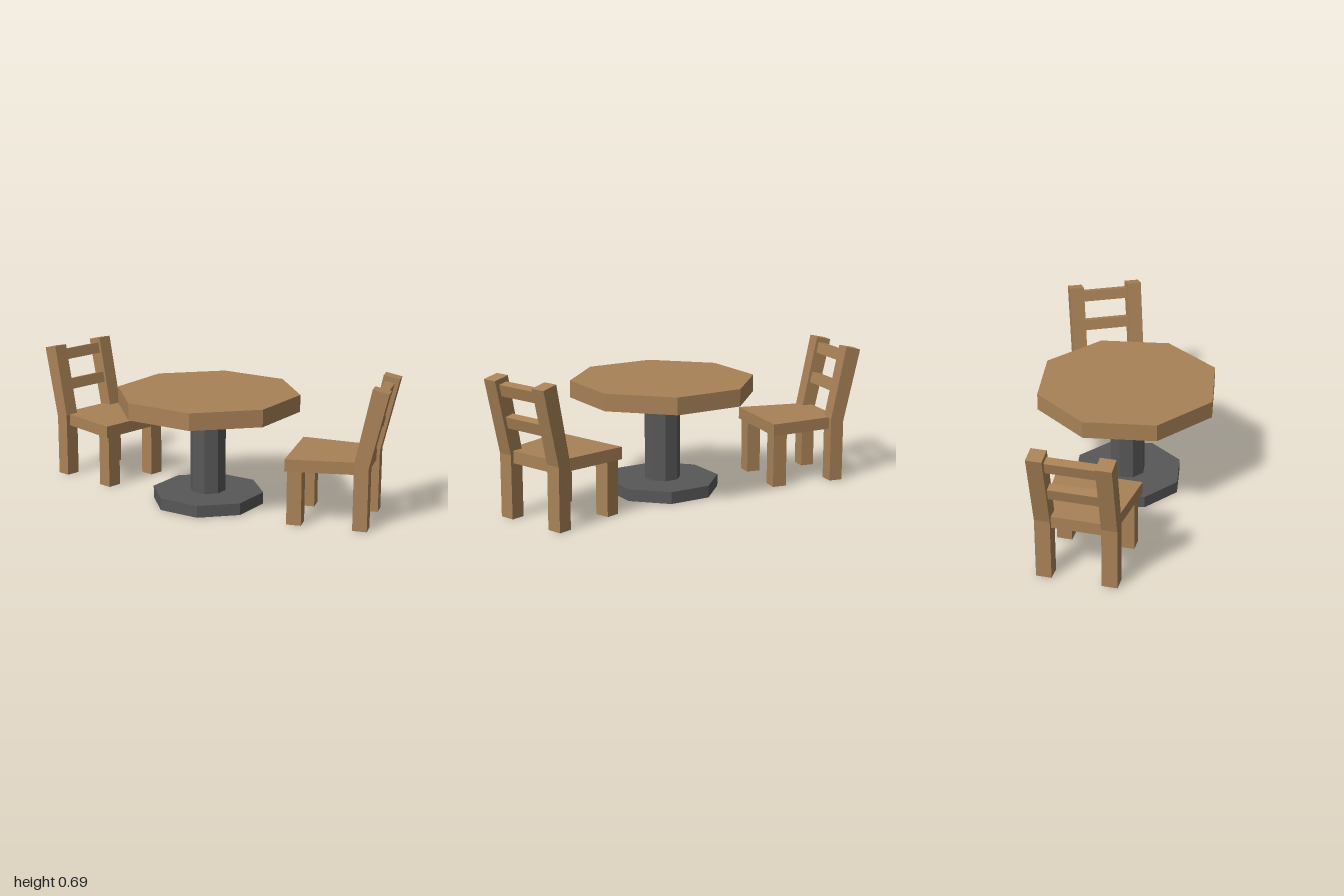
import * as THREE from 'three';

const wood = new THREE.MeshStandardMaterial({ color: 0xa98257, flatShading: true });
wood.name = 'wood';
const metal = new THREE.MeshStandardMaterial({ color: 0x585858, flatShading: true, side: THREE.DoubleSide });
metal.name = 'darkMetal';

function part(name, geometry, material, parent) {
  const mesh = new THREE.Mesh(geometry, material);
  mesh.name = name;
  parent.add(mesh);
  return mesh;
}

function extrude(points, depth) {
  const shape = new THREE.Shape(points.map(([x, y]) => new THREE.Vector2(x, y)));
  return new THREE.ExtrudeGeometry(shape, { depth, bevelEnabled: false });
}

// Octagonal table on a hollow pedestal
function makeTable() {
  const table = new THREE.Group();
  table.name = 'table';
  const turn = Math.PI / 8;
  const radius = (apothem) => apothem / Math.cos(turn);

  const top = new THREE.CylinderGeometry(radius(0.425), radius(0.425), 0.085, 8);
  part('tableTop', top.rotateY(turn).translate(0, 0.5275, 0), wood, table);

  const rp = radius(0.083), rb = radius(0.26);
  const column = new THREE.CylinderGeometry(rp, rp, 0.485, 8, 1, true);
  part('pedestalColumn', column.rotateY(turn).translate(0, 0.2425, 0), metal, table);

  // The base is open in the middle, where the column runs through it
  const ring = [[rp, 0], [rb, 0], [rb, 0.06], [rp, 0.06]].map(([r, y]) => new THREE.Vector2(r, y));
  part('pedestalBase', new THREE.LatheGeometry(ring, 8, turn), metal, table);
  return table;
}

// Chair facing +z, with the middle of its front seat edge at z = 0
function makeChair(name) {
  const chair = new THREE.Group();
  chair.name = name;

  // Seat, narrower at the back
  const seat = extrude([[-0.21, 0], [-0.165, -0.385], [0.165, -0.385], [0.21, 0]], 0.06);
  part('seat', seat.rotateX(Math.PI / 2).translate(0, 0.33, 0), wood, chair);

  // Back leg and back post in one piece, bent at the seat
  const profile = [[-0.4, 0], [-0.33, 0], [-0.33, 0.327], [-0.406, 0.692], [-0.485, 0.675], [-0.4, 0.31]];
  for (const side of [-1, 1]) {
    const post = extrude(profile, 0.075).rotateY(-Math.PI / 2);
    part('backPost', post.translate(side * 0.1575 + 0.0375, 0, 0), wood, chair);
    const leg = new THREE.BoxGeometry(0.075, 0.27, 0.072);
    part('frontLeg', leg.translate(side * 0.154, 0.135, -0.045), wood, chair);
  }

  // Slats tilted with the posts
  for (const [y, z] of [[0.632, -0.432], [0.475, -0.398]]) {
    const slat = part('backSlat', new THREE.BoxGeometry(0.26, 0.056, 0.045), wood, chair);
    slat.position.set(0, y, z);
    slat.rotation.x = -0.22;
  }
  return chair;
}

export function createModel() {
  const model = new THREE.Group();
  model.name = 'tableWithChairs';

  const table = makeTable();
  table.position.x = 0.019;
  model.add(table);

  const rightChair = makeChair('rightChair');
  rightChair.position.set(-0.49, 0, -0.0875);
  rightChair.rotation.y = 1.404;
  model.add(rightChair);

  const leftChair = makeChair('leftChair');
  leftChair.position.set(0.4725, 0, -0.075);
  leftChair.rotation.y = -1.268;
  model.add(leftChair);
  return model;
}
